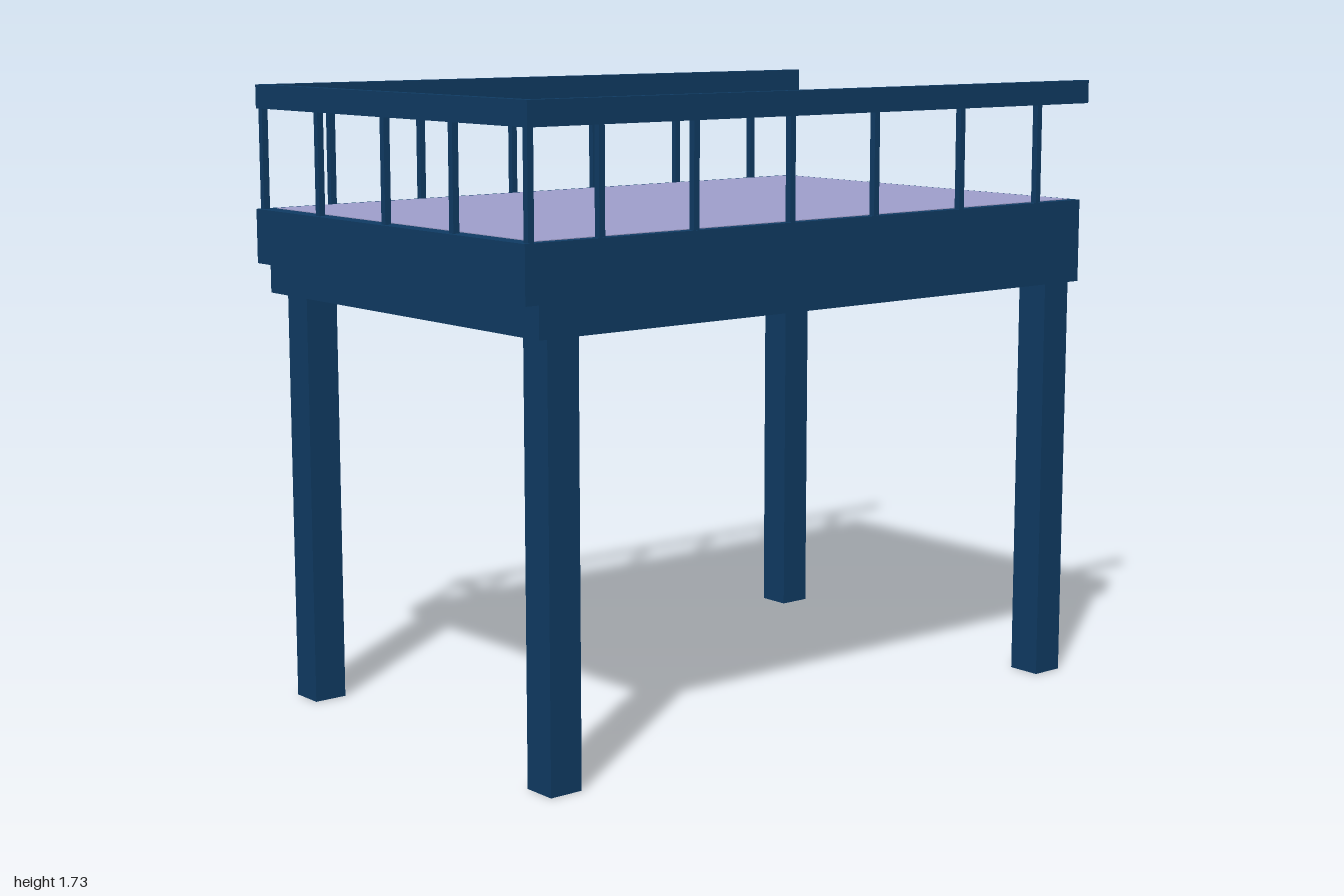
import * as THREE from 'three';

export function createModel() {
  const model = new THREE.Group();
  model.name = 'railedPlatform';
  const navy = new THREE.MeshStandardMaterial({ color: 0x0f3b63 });
  navy.name = 'navy';
  const lavender = new THREE.MeshStandardMaterial({ color: 0x9f9fcb });
  lavender.name = 'lavender';

  // Box given by its minimum and maximum corners
  function box(name, [x0, y0, z0], [x1, y1, z1], material = navy) {
    const mesh = new THREE.Mesh(new THREE.BoxGeometry(x1 - x0, y1 - y0, z1 - z0), material);
    mesh.position.set((x0 + x1) / 2, (y0 + y1) / 2, (z0 + z1) / 2);
    mesh.name = name;
    model.add(mesh);
  }

  const under = 1.155, top = 1.39, railY = 1.665, railTop = 1.73;

  // Platform, front ledge and thin floor panel
  box('platform', [-0.622, under, -0.973], [0.625, top, 0.96]);
  box('frontLedge', [-0.622, 1.24, 0.96], [0.625, top, 1.0]);
  box('floorPanel', [-0.594, top - 0.004, -0.951], [0.597, top + 0.002, 0.951], lavender);

  // Four square legs
  for (const [x0, x1] of [[-0.596, -0.498], [0.508, 0.606]])
    for (const [z0, z1] of [[-0.952, -0.856], [0.826, 0.922]])
      box('leg', [x0, 0, z0], [x1, under, z1]);

  // Handrails on both sides and the front; the back stays open
  box('rightRail', [-0.628, railY, -1.0], [-0.6, railTop, 0.99]);
  box('leftRail', [0.597, railY, -1.0], [0.625, railTop, 0.99]);
  box('frontRail', [-0.6, railY, 0.963], [0.597, railTop, 0.99]);

  // Slim posts under the rails
  const r = 0.009;
  const post = (x, z) => box('railPost', [x - r, top, z - r], [x + r, railY, z + r]);
  for (const x of [-0.609, 0.613])
    for (const z of [0.979, 0.764, 0.463, 0.138, -0.164, -0.49, -0.8]) post(x, z);
  for (const x of [-0.323, -0.004, 0.302]) post(x, 0.979);

  return model;
}
